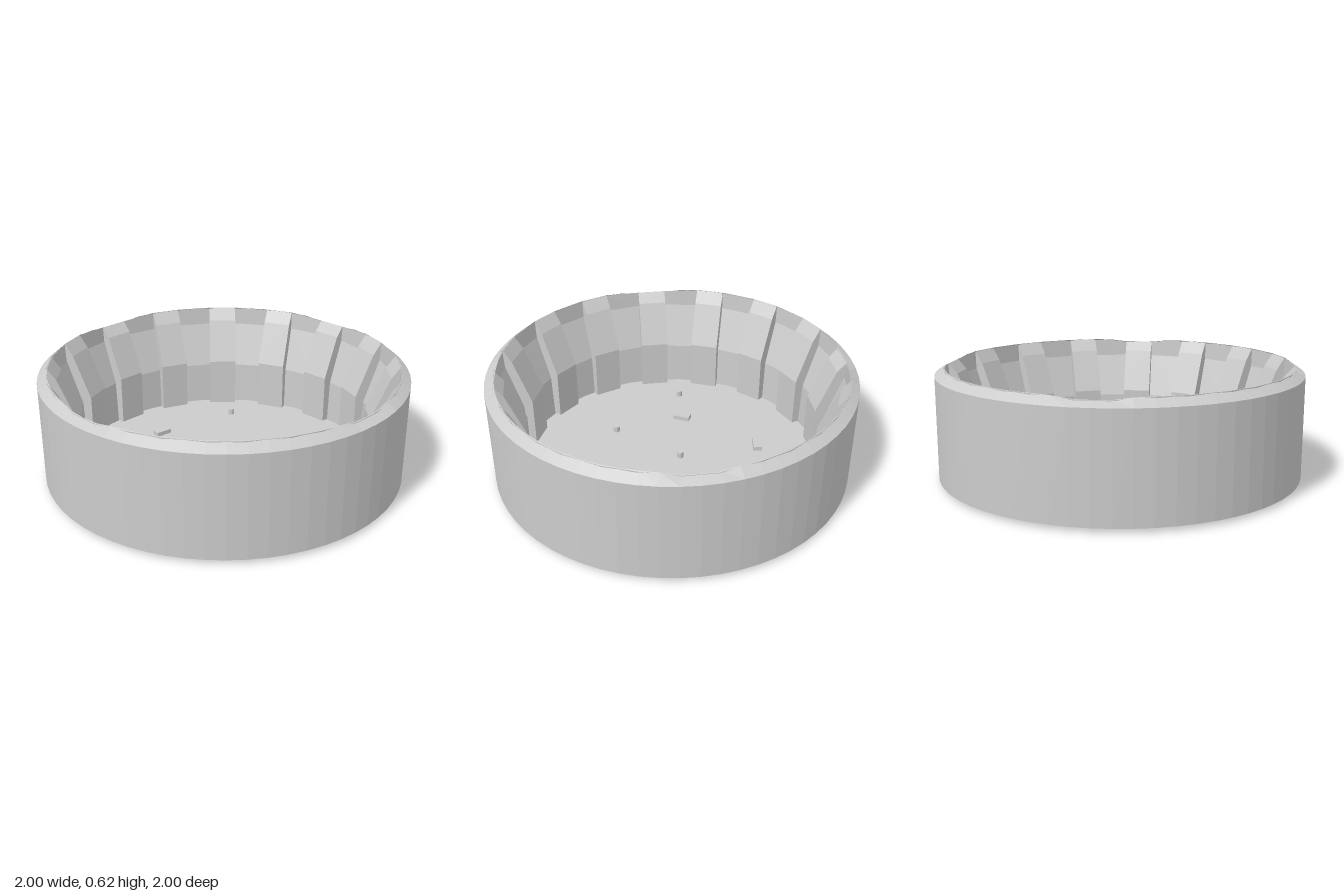
import * as THREE from 'three';

const COUNT = 16;
const HALF = 0.082; // half the width of a buttress
const material = new THREE.MeshStandardMaterial({ color: 0xcccccc, flatShading: true, side: THREE.DoubleSide });

function addMesh(parent, name, geometry) {
  const mesh = new THREE.Mesh(geometry, material);
  mesh.name = name;
  parent.add(mesh);
  return mesh;
}

// Strip surface between rows of points of equal length
function loft(rows) {
  const index = [];
  const n = rows[0].length;
  for (let i = 0; i < rows.length - 1; i++) {
    for (let j = 0; j < n - 1; j++) {
      const a = i * n + j, b = a + n;
      index.push(a, a + 1, b, b, a + 1, b + 1);
    }
  }
  const g = new THREE.BufferGeometry().setFromPoints(rows.flat());
  g.setIndex(index);
  g.computeVertexNormals();
  return g;
}

// The rim dips slightly at the four cardinal directions
function rimHeight(angle) {
  const quarter = Math.PI / 2;
  const off = Math.abs(angle - Math.round(angle / quarter) * quarter);
  return 0.6 + 0.015 * THREE.MathUtils.clamp((off - 0.09) / 0.13, 0, 1);
}

// Wall profiles as [radius, height], from top to bottom
const recessProfile = (top) => [[0.95, top], [0.945, 0.51], [0.855, 0.26], [0.845, 0.01]];
const buttressProfile = (top) => [[0.948, top], [0.9, 0.545], [0.8, 0.3], [0.8, 0.01]];

export function createModel() {
  const group = new THREE.Group();
  group.name = 'arena';

  // Outer shell and its sloping rim
  const shell = addMesh(group, 'outerWall', new THREE.CylinderGeometry(1, 1, 0.555, 64, 1, true));
  shell.position.y = 0.2975;
  const rim = [];
  for (let i = 0; i <= 64; i++) {
    const a = (i / 64) * Math.PI * 2;
    const s = Math.sin(a), c = Math.cos(a);
    rim.push([
      new THREE.Vector3(s, 0.575, c),
      new THREE.Vector3(0.945 * s, rimHeight(a), 0.945 * c),
    ]);
  }
  addMesh(group, 'rim', loft(rim));

  // Floor plate
  const floor = addMesh(group, 'floor', new THREE.CylinderGeometry(0.845, 0.845, 0.015, 32));
  floor.position.y = 0.0075;

  // Inner wall: buttresses alternating with recessed panels
  const up = new THREE.Vector3(0, 1, 0);
  const edge = (angle, x, top) => recessProfile(top).map(([r, y]) => new THREE.Vector3(x, y, r).applyAxisAngle(up, angle));
  for (let i = 0; i < COUNT; i++) {
    const angle = (i / COUNT) * Math.PI * 2;
    const next = ((i + 1) / COUNT) * Math.PI * 2;
    const top = rimHeight(angle);

    const outline = [...buttressProfile(top), ...recessProfile(top).reverse()];
    const shape = new THREE.Shape(outline.map(([r, y]) => new THREE.Vector2(r, y)));
    const block = new THREE.ExtrudeGeometry(shape, { depth: HALF * 2, bevelEnabled: false });
    block.translate(0, 0, -HALF);
    block.rotateY(angle - Math.PI / 2);
    addMesh(group, 'buttress', block);

    addMesh(group, 'recessPanel', loft([edge(angle, HALF, top), edge(next, -HALF, rimHeight(next))]));
  }

  // Small round pegs on the floor
  for (const [x, z] of [[-0.405, -0.48], [0.365, -0.185], [-0.045, -0.02], [0.295, 0.29], [-0.135, 0.635]]) {
    const peg = addMesh(group, 'peg', new THREE.CylinderGeometry(0.019, 0.019, 0.04, 12));
    peg.position.set(x, 0.03, z);
  }

  // Small bricks on the floor
  for (const [x, z, turn] of [[0.11, -0.355, 0.7], [0.455, -0.08, 0.06], [-0.505, 0.02, 1.45], [-0.115, 0.37, -0.47]]) {
    const brick = addMesh(group, 'brick', new THREE.BoxGeometry(0.095, 0.03, 0.048));
    brick.position.set(x, 0.025, z);
    brick.rotation.y = turn;
  }

  return group;
}
